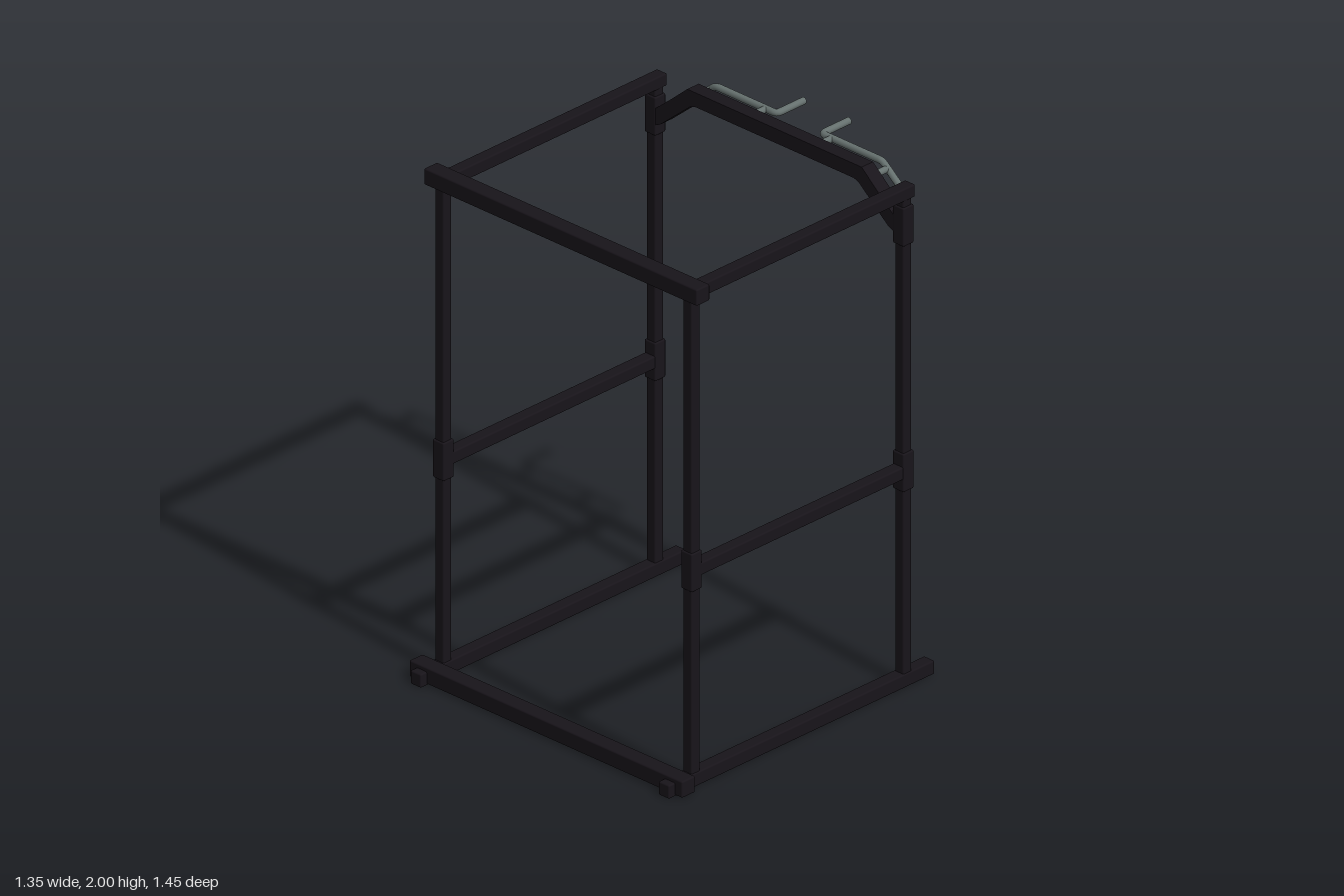
import * as THREE from 'three';
import { RoundedBoxGeometry } from 'three/addons/geometries/RoundedBoxGeometry.js';

const steel = new THREE.MeshStandardMaterial({ color: 0x18141a });
const grip = new THREE.MeshStandardMaterial({ color: 0x66716f });

export function createModel() {
  const root = new THREE.Group();

  const add = (name, geometry, material, parent = root) => {
    const mesh = new THREE.Mesh(geometry, material);
    mesh.name = name;
    parent.add(mesh);
    return mesh;
  };

  // Box tube given by its extents along each axis
  const beam = (name, [x0, x1], [y0, y1], [z0, z1], parent) => {
    const g = new RoundedBoxGeometry(x1 - x0, y1 - y0, z1 - z0, 2, 0.006);
    g.translate((x0 + x1) / 2, (y0 + y1) / 2, (z0 + z1) / 2);
    return add(name, g, steel, parent);
  };
  const around = (c, width) => [c - width / 2, c + width / 2];

  const sideX = 0.612, frontZ = 0.584, backZ = -0.489;

  // Front cross beams
  beam('topFrontBeam', [-0.673, 0.673], [1.935, 2], [0.553, 0.62]);
  beam('bottomFrontBeam', [-0.673, 0.673], [0.005, 0.07], [0.627, 0.694]);

  // Side frames
  for (const s of [-1, 1]) {
    const side = new THREE.Group();
    side.name = s > 0 ? 'leftSideFrame' : 'rightSideFrame';
    root.add(side);
    const x = s * sideX;
    beam('baseRail', around(x, 0.052), [0, 0.054], [-0.622, 0.725], side);
    beam('topRail', around(x, 0.05), [1.935, 1.985], [-0.525, 0.56], side);
    beam('middleRail', around(x, 0.05), [0.83, 0.88], [backZ, frontZ], side);
    for (const z of [frontZ, backZ]) {
      beam('upright', around(x, 0.043), [0.03, 1.95], around(z, 0.043), side);
      beam('middleSleeve', around(x, 0.055), [0.78, 0.932], around(z, 0.054), side);
    }
    beam('upperSleeve', around(x, 0.055), [1.757, 1.91], around(backZ, 0.054), side);
  }

  // Bent pull-up beam with sloping ends
  const half = [[0.44, 2], [0.505, 1.935], [0.59, 1.864], [0.59, 1.8], [0.562, 1.812], [0.415, 1.935], [0.392, 1.943]];
  half[0] = [0.43, 2];
  const top = half.slice(0, 4), under = half.slice(4);
  const mirror = (pts) => pts.map(([x, y]) => [-x, y]);
  const outline = [...top, ...under, ...mirror(under).reverse(), ...mirror(top).reverse()];
  const profile = new THREE.Shape(outline.map(([x, y]) => new THREE.Vector2(x, y)));
  const bar = new THREE.ExtrudeGeometry(profile, { depth: 0.058, bevelEnabled: false });
  bar.translate(0, 0, -0.523);
  add('pullUpBeam', bar, steel);

  // Grip tubes, bent back at the centre and down at the outside
  const r = 0.0135, y = 1.972, gz = -0.59;
  const v = (a, b, c) => new THREE.Vector3(a, b, c);
  for (const s of [-1, 1]) {
    const grips = new THREE.Group();
    grips.name = s > 0 ? 'leftGrip' : 'rightGrip';
    root.add(grips);

    const path = new THREE.CurvePath();
    path.add(new THREE.LineCurve3(v(s * 0.111, y, -0.729), v(s * 0.111, y, gz - 0.02)));
    path.add(new THREE.QuadraticBezierCurve3(v(s * 0.111, y, gz - 0.02), v(s * 0.111, y, gz), v(s * 0.131, y, gz)));
    path.add(new THREE.LineCurve3(v(s * 0.131, y, gz), v(s * 0.395, y, gz)));
    path.add(new THREE.QuadraticBezierCurve3(v(s * 0.395, y, gz), v(s * 0.412, y, gz), v(s * 0.425, y - 0.011, gz)));
    path.add(new THREE.LineCurve3(v(s * 0.425, y - 0.011, gz), v(s * 0.53, 1.875, gz)));
    add('gripTube', new THREE.TubeGeometry(path, 90, r, 10, false), grip, grips);

    // Closed tube ends
    for (const t of [0, 1]) {
      const cap = add('gripEnd', new THREE.CircleGeometry(r, 10), grip, grips);
      const end = path.getPoint(t);
      cap.position.copy(end);
      cap.lookAt(end.clone().addScaledVector(path.getTangent(t), t ? 1 : -1));
    }

    // Short mounts joining the tube to the beam
    for (const [mx, my] of [[0.163, y], [0.437, 1.951]]) {
      const mount = add('gripMount', new THREE.CylinderGeometry(0.013, 0.013, 0.085, 10), grip, grips);
      mount.rotation.x = Math.PI / 2;
      mount.position.set(s * mx, my, -0.5475);
    }
  }

  return root;
}
